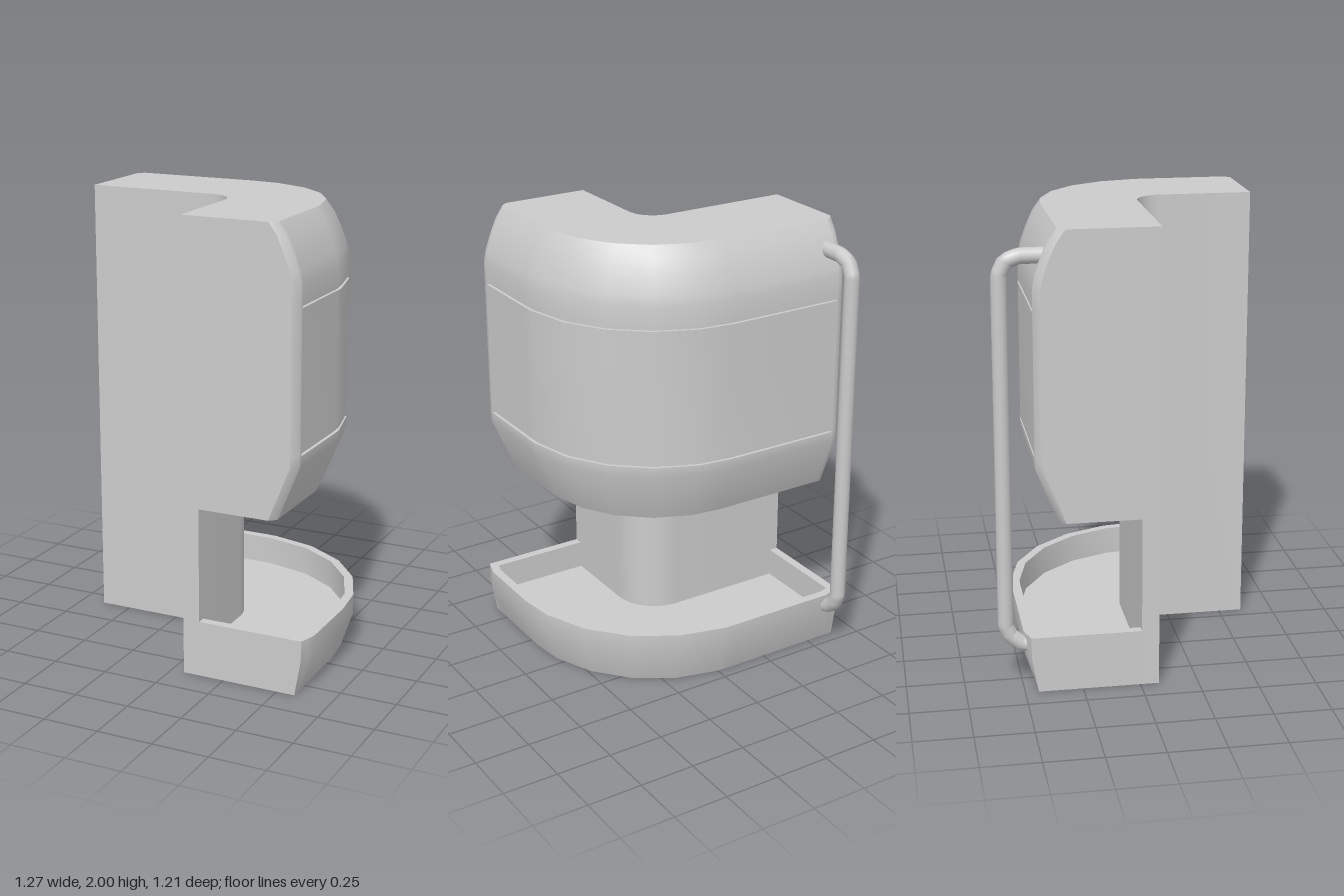
import * as THREE from 'three';
import { toCreasedNormals, mergeGeometries } from 'three/addons/utils/BufferGeometryUtils.js';

// The unit follows an L-shaped path: straight, quarter bend, straight.
const BEND = { x: -0.06, z: 0.2, r: 0.12 };
const START = -0.58, END = 0.405;

// Point at bend angle a (degrees), slid along the path by shift, d outwards from the inner face
function place(a, shift, d, y) {
  const t = THREE.MathUtils.degToRad(a), s = Math.sin(t), c = Math.cos(t), r = BEND.r + d;
  return new THREE.Vector3(BEND.x + s * r + c * shift, y, BEND.z - c * r + s * shift);
}

// Stations along the path: mirrored end details { s, ...options } plus the bend angles
function stations(ends, angles, middle) {
  return [
    ...ends.map(e => ({ a: 0, shift: START + e.s, ...e })),
    ...angles.map(a => ({ a, shift: 0, ...middle })),
    ...[...ends].reverse().map(e => ({ a: 90, shift: END - e.s, ...e })),
  ];
}

// Sweep a counter-clockwise (d, y) section through the stations and cap both ends
function sweep(list, section, crease = 0.95) {
  const sections = list.map(section);
  const rings = list.map((st, k) => sections[k].map(([d, y]) => place(st.a, st.shift, d, y)));
  const sides = [], caps = [];
  const tri = (out, a, b, c) => {
    const area = b.clone().sub(a).cross(c.clone().sub(a)).length();
    if (area > 1e-9) for (const p of [a, b, c]) out.push(p.x, p.y, p.z);
  };
  for (let k = 0; k + 1 < rings.length; k++) {
    const p = rings[k], q = rings[k + 1], n = p.length;
    for (let i = 0; i < n; i++) {
      const j = (i + 1) % n;
      tri(sides, p[i], p[j], q[j]);
      tri(sides, p[i], q[j], q[i]);
    }
  }
  const last = rings.length - 1;
  for (const k of [0, last]) {
    const outline = sections[k].map(([d, y]) => new THREE.Vector2(d, y));
    for (const [a, b, c] of THREE.ShapeUtils.triangulateShape(outline, [])) {
      const r = rings[k];
      if (k === last) tri(caps, r[a], r[b], r[c]);
      else tri(caps, r[a], r[c], r[b]);
    }
  }
  const make = arr => {
    const g = new THREE.BufferGeometry();
    g.setAttribute('position', new THREE.Float32BufferAttribute(arr, 3));
    g.computeVertexNormals();
    return g;
  };
  return mergeGeometries([toCreasedNormals(make(sides), crease), make(caps)]);
}

export function createModel() {
  const group = new THREE.Group();
  const material = new THREE.MeshStandardMaterial({ color: 0xcccccc, side: THREE.DoubleSide });
  const add = (name, geometry) => {
    const mesh = new THREE.Mesh(geometry, material);
    mesh.name = name;
    group.add(mesh);
  };
  const WALL = 0.075;

  // Full-height inner wall with a smooth bend
  const fine = Array.from({ length: 13 }, (_, i) => i * 7.5);
  add('innerWall', sweep(stations([{ s: 0 }], fine, {}),
    () => [[0, 0], [WALL, 0], [WALL, 2], [0, 2]]));

  // Upper housing: bevelled ends and two engraved grooves
  const housingEnds = [
    { s: 0, inset: 0.03, groove: 0 },
    { s: 0.025, inset: 0, groove: 0 },
    { s: 0.045, inset: 0, groove: 0 },
    { s: 0.045, inset: 0, groove: 0.014 },
  ];
  add('upperHousing', sweep(
    stations(housingEnds, [0, 14, 32, 50, 67.5, 86, 90], { inset: 0, groove: 0.014 }),
    ({ inset, groove }) => {
      const notch = y => [[0.522, y - 0.007], [0.522 - groove, y - 0.007],
        [0.522 - groove, y + 0.007], [0.522, y + 0.007]];
      return [
        [WALL, 0.76], [0.425, 0.76], [0.522, 1.0], ...notch(1.05), ...notch(1.667),
        [0.522, 1.76], [0.512, 1.81], [0.485, 1.885], [0.455, 1.95], [0.42, 2], [0.36, 2], [WALL, 2],
      ].map(([d, y]) => [d > 0.1 ? d - inset : d, y]);
    }));

  // Drip tray: recessed floor inside a rim
  const trayEnds = [
    { s: 0, inset: 0.025, floor: 0.25 },
    { s: 0.04, inset: 0.012, floor: 0.25 },
    { s: 0.04, inset: 0.012, floor: 0.12 },
    { s: 0.08, inset: 0, floor: 0.12 },
  ];
  add('tray', sweep(
    stations(trayEnds, [0, 5, 23, 41, 58.5, 76, 90], { inset: 0, floor: 0.12 }),
    ({ inset, floor }) => [
      [WALL, 0], [0.522, 0], [0.575 - inset, 0.16], [0.575 - inset, 0.25],
      [0.535 - inset, 0.25], [0.535 - inset, floor], [WALL, floor],
    ]));

  // Bent pipe on the back, running from the housing down to the tray
  const bends = [[1.885, -0.39], [1.885, -0.49], [1.865, -0.545], [1.81, -0.571],
    [0.28, -0.571], [0.235, -0.55], [0.2, -0.505], [0.19, -0.45]];
  const path = new THREE.CurvePath();
  const points = bends.map(([y, z]) => new THREE.Vector3(-0.565, y, z));
  for (let i = 0; i + 1 < points.length; i++) path.add(new THREE.LineCurve3(points[i], points[i + 1]));
  add('pipe', new THREE.TubeGeometry(path, 120, 0.034, 14));
  const tip = new THREE.SphereGeometry(0.034, 14, 10);
  add('pipeTopEnd', tip.clone().translate(-0.565, 1.885, -0.39));
  add('pipeBottomEnd', tip.clone().translate(-0.565, 0.19, -0.45));

  return group;
}
